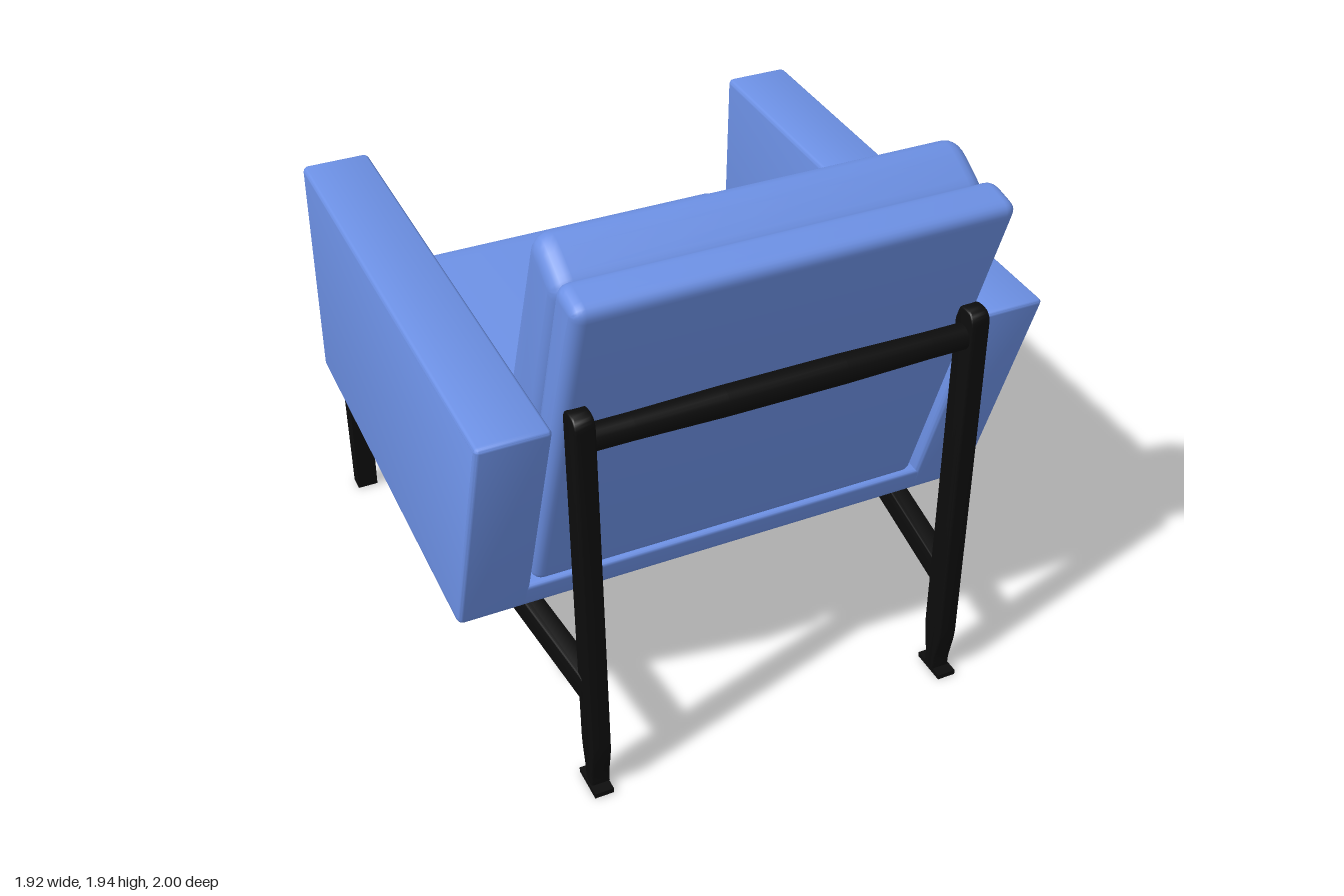
import * as THREE from 'three';
import { toCreasedNormals } from 'three/addons/utils/BufferGeometryUtils.js';

const fabric = new THREE.MeshStandardMaterial({ color: 0x6c90e4 });
const metal = new THREE.MeshStandardMaterial({ color: 0x0c0c0c });

// Closed polygon of [z, y, cornerRadius] points as a shape with rounded corners
function roundedShape(points) {
  const shape = new THREE.Shape();
  const n = points.length;
  points.forEach(([x, y, r], i) => {
    const p = new THREE.Vector2(x, y);
    const toward = (q) => {
      const d = new THREE.Vector2(q[0], q[1]).sub(p);
      return p.clone().addScaledVector(d.normalize(), r);
    };
    const a = toward(points[(i + n - 1) % n]);
    const b = toward(points[(i + 1) % n]);
    if (i === 0) shape.moveTo(a.x, a.y);
    else shape.lineTo(a.x, a.y);
    shape.quadraticCurveTo(x, y, b.x, b.y);
  });
  shape.closePath();
  return shape;
}

// Side profile extruded across x, centred on x = 0, with softened edges
function slab(points, width, bevel) {
  const geo = new THREE.ExtrudeGeometry(roundedShape(points), {
    depth: width - 2 * bevel, curveSegments: 6,
    bevelEnabled: true, bevelThickness: bevel, bevelSize: bevel, bevelOffset: -bevel, bevelSegments: 5,
  });
  geo.translate(0, 0, bevel - width / 2);
  geo.rotateY(-Math.PI / 2);
  return toCreasedNormals(geo, 0.6);
}

// Moves every vertex by a rule
function warp(geo, rule) {
  const pos = geo.attributes.position;
  const v = new THREE.Vector3();
  for (let i = 0; i < pos.count; i++) {
    v.fromBufferAttribute(pos, i);
    rule(v);
    pos.setXYZ(i, v.x, v.y, v.z);
  }
  geo.computeVertexNormals();
  return geo;
}

export function createModel() {
  const chair = new THREE.Group();
  chair.name = 'armchair';
  const add = (name, geo, material, x = 0, y = 0, z = 0) => {
    const mesh = new THREE.Mesh(geo, material);
    mesh.name = name;
    mesh.position.set(x, y, z);
    chair.add(mesh);
    return mesh;
  };

  // Upholstered base between the arms
  add('seatBase', slab([
    [0.56, 0.488, 0.03], [0.595, 0.6, 0.02], [-0.923, 0.685, 0.02], [-0.925, 0.592, 0.03],
  ], 1.54, 0.01), fabric);

  // Seat cushion
  add('seatCushion', slab([
    [0.46, 0.59, 0.06], [0.49, 0.85, 0.06], [-1.0, 0.955, 0.12], [-1.0, 0.665, 0.12],
  ], 1.41, 0.06), fabric);

  // Thin back panel and the thick cushion in front of it
  add('backPanel', slab([
    [0.583, 0.6, 0.03], [1.013, 1.875, 0.05], [0.862, 1.905, 0.05], [0.44, 0.6, 0.03],
  ], 1.415, 0.04), fabric);
  add('backCushion', slab([
    [0.5, 0.8, 0.05], [0.87, 1.855, 0.06], [0.66, 1.985, 0.11], [0.235, 0.82, 0.06],
  ], 1.40, 0.06), fabric);

  const armGeo = slab([
    [0.56, 0.486, 0.035], [0.86, 1.395, 0.025], [-0.91, 1.447, 0.025], [-0.925, 0.59, 0.03],
  ], 0.24, 0.02);

  // Rear leg: rounded top, waist above the foot, slight sideways lean
  const rearLegProfile = [
    [0.962, 0.01, 0.005], [0.962, 0.06, 0.02], [0.983, 0.17, 0.04], [0.949, 1.475, 0.045],
    [0.853, 1.475, 0.045], [0.887, 0.17, 0.04], [0.912, 0.06, 0.02], [0.912, 0.01, 0.005],
  ];

  for (const [side, s] of [['left', 1], ['right', -1]]) {
    add(side + 'Arm', armGeo, fabric, 0.84 * s);

    const lean = (v) => { v.x += s * (0.644 + 0.011 * v.y); };
    const leg = warp(slab(rearLegProfile, 0.066, 0.008), lean);
    add(side + 'RearLeg', toCreasedNormals(leg, 0.6), metal);
    add(side + 'RearFoot', new THREE.BoxGeometry(0.066, 0.018, 0.13), metal, 0.648 * s, 0.012, 0.935);

    // Tapered front leg
    const frontLeg = warp(new THREE.BoxGeometry(0.076, 0.58, 0.084), (v) => {
      if (v.y < 0) v.z *= 0.7;
    });
    add(side + 'FrontLeg', frontLeg, metal, 0.858 * s, 0.295, -0.904);

    // Side rail rising and spreading towards the front leg
    const rail = warp(slab([
      [0.92, -0.048, 0.012], [0.92, 0.048, 0.012], [-0.94, 0.048, 0.012], [-0.94, -0.048, 0.012],
    ], 0.07, 0.01), (v) => {
      const t = (0.92 - v.z) / 1.86;
      v.x += s * (0.65 + 0.208 * t);
      v.y += 0.412 + 0.128 * t;
    });
    add(side + 'SideRail', toCreasedNormals(rail, 0.6), metal);
  }

  // Round bar between the rear legs, slightly fuller in the middle
  const barProfile = [[0.043, -0.64], [0.043, -0.5], [0.048, -0.2], [0.048, 0.2], [0.043, 0.5], [0.043, 0.64]];
  const bar = new THREE.LatheGeometry(barProfile.map(([r, y]) => new THREE.Vector2(r, y)), 24);
  bar.rotateZ(Math.PI / 2);
  add('backCrossbar', bar, metal, 0, 1.375, 0.902);

  return chair;
}
